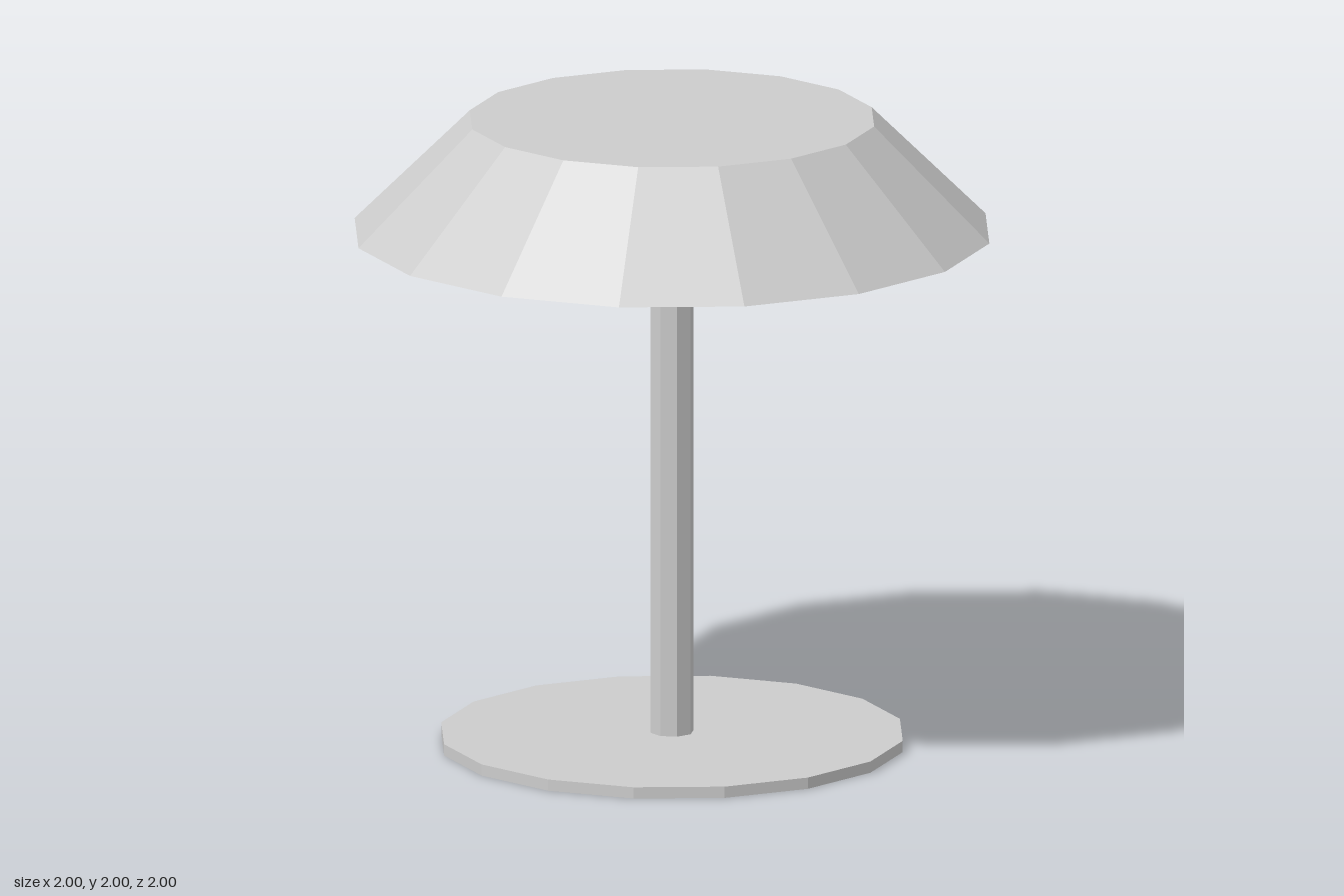
import * as THREE from 'three';

export function createModel() {
  const model = new THREE.Group();
  model.name = 'tableLamp';

  const lightGrey = new THREE.MeshStandardMaterial({ color: 0xcccccc, flatShading: true });
  lightGrey.name = 'lightGrey';

  // Faceted round part standing between two heights
  function addRound(name, topRadius, bottomRadius, y0, y1, sides) {
    const geometry = new THREE.CylinderGeometry(topRadius, bottomRadius, y1 - y0, sides);
    const mesh = new THREE.Mesh(geometry, lightGrey);
    mesh.name = name;
    mesh.position.y = (y0 + y1) / 2;
    model.add(mesh);
  }

  addRound('base', 0.727, 0.727, 0, 0.036, 16);
  addRound('pole', 0.068, 0.068, 0.036, 1.64, 8);
  addRound('shade', 0.637, 1, 1.64, 2, 16);

  return model;
}
